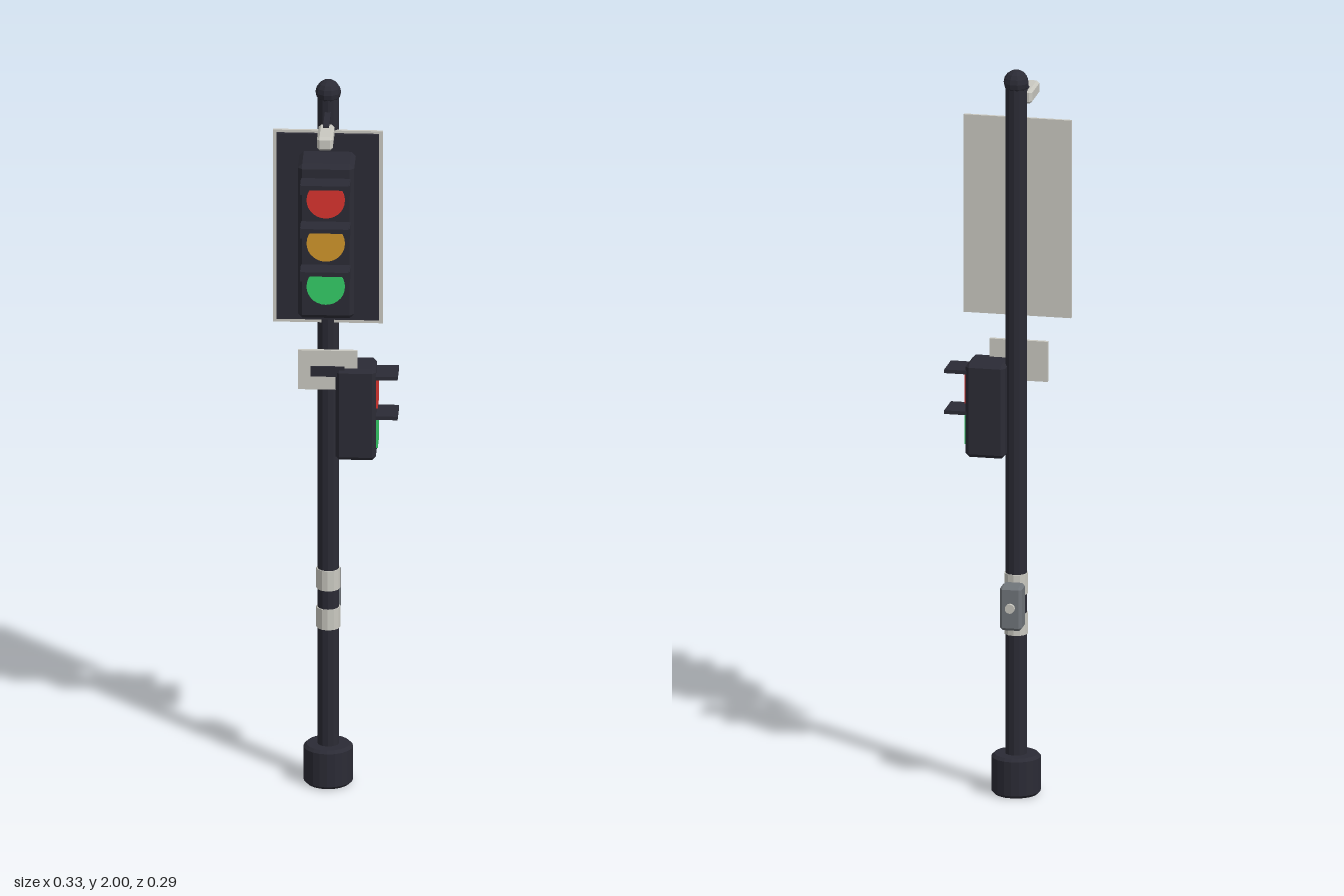
import * as THREE from 'three';
import { ConvexGeometry } from 'three/addons/geometries/ConvexGeometry.js';

const material = (name, color, flatShading = false) => {
  const m = new THREE.MeshStandardMaterial({ color });
  m.name = name;
  m.flatShading = flatShading;
  return m;
};

// Box given by its limits, with every edge cut at an angle when c > 0
function boxGeometry(x0, x1, y0, y1, z0, z1, c = 0) {
  const w = x1 - x0, h = y1 - y0, d = z1 - z0;
  let geo;
  if (c > 0) {
    const pts = [];
    for (const sx of [-1, 1]) for (const sy of [-1, 1]) for (const sz of [-1, 1]) {
      const x = w / 2, y = h / 2, z = d / 2;
      pts.push(
        new THREE.Vector3(sx * x, sy * (y - c), sz * (z - c)),
        new THREE.Vector3(sx * (x - c), sy * y, sz * (z - c)),
        new THREE.Vector3(sx * (x - c), sy * (y - c), sz * z));
    }
    geo = new ConvexGeometry(pts);
  } else {
    geo = new THREE.BoxGeometry(w, h, d);
  }
  return geo.translate((x0 + x1) / 2, (y0 + y1) / 2, (z0 + z1) / 2);
}

export function createModel() {
  const root = new THREE.Group();
  root.name = 'trafficLight';

  const dark = material('darkMetal', 0x2b2b35, true);
  const pale = material('paleMetal', 0xc9c8c0, true);
  const grey = material('greyMetal', 0x70757a, true);
  const red = material('redLight', 0xd8342e);
  const amber = material('amberLight', 0xcf952b);
  const green = material('greenLight', 0x33cc66);

  const add = (name, geo, mat, parent = root) => {
    const mesh = new THREE.Mesh(geo, mat);
    mesh.name = name;
    parent.add(mesh);
    return mesh;
  };
  const box = (name, mat, limits, chamfer = 0, parent = root) =>
    add(name, boxGeometry(...limits, chamfer), mat, parent);
  const group = (name) => {
    const g = new THREE.Group();
    g.name = name;
    root.add(g);
    return g;
  };

  // Pole axis
  const PX = -0.021, PZ = -0.062;
  const tube = (name, mat, r, y0, y1, sides = 12) =>
    add(name, new THREE.CylinderGeometry(r, r, y1 - y0, sides)
      .translate(PX, (y0 + y1) / 2, PZ), mat);

  // Foot with bevelled rims, pole and ball cap
  const footProfile = [[0, 0], [0.058, 0], [0.066, 0.008], [0.066, 0.102], [0.058, 0.11], [0, 0.11]]
    .map(([r, y]) => new THREE.Vector2(r, y));
  add('foot', new THREE.LatheGeometry(footProfile, 20).translate(PX, 0, PZ), dark);
  tube('pole', dark, 0.029, 0.1, 1.965);
  add('poleCap', new THREE.SphereGeometry(0.034, 10, 8).translate(PX, 1.966, PZ), dark);

  // Reflective bands
  for (const [y0, y1] of [[0.442, 0.5], [0.553, 0.61]]) tube('poleBand', pale, 0.032, y0, y1);

  // Push button on the back
  const button = group('pushButton');
  box('buttonHousing', grey, [-0.051, 0.009, 0.468, 0.59, -0.139, -0.084], 0.008, button);
  add('button', new THREE.CylinderGeometry(0.013, 0.013, 0.014, 12)
    .rotateX(Math.PI / 2).translate(PX, 0.532, -0.141), pale, button);

  // Backing board with pale border
  const board = group('backingBoard');
  box('boardBorder', pale, [-0.167, 0.125, 1.317, 1.864, -0.047, -0.039], 0, board);
  box('boardFace', dark, [-0.157, 0.115, 1.328, 1.857, -0.039, -0.031], 0, board);

  // Main signal head with three hooded lamps
  const head = group('signalHead');
  box('signalHousing', dark, [-0.096, 0.054, 1.373, 1.812, -0.032, 0.082], 0.012, head);
  [[1.714, red], [1.591, amber], [1.468, green]].forEach(([y, mat]) => {
    add('lamp', new THREE.CylinderGeometry(0.051, 0.051, 0.012, 28)
      .rotateX(Math.PI / 2).translate(PX, y, 0.082), mat, head);
    box('visorTop', dark, [PX - 0.063, PX + 0.063, y + 0.049, y + 0.061, 0.08, 0.139], 0, head);
    for (const s of [-1, 1]) {
      const x = PX + s * 0.061;
      box('visorSide', dark, [x - 0.005, x + 0.005, y + 0.031, y + 0.06, 0.08, 0.13], 0, head);
    }
  });

  // Camera on its arm
  const camera = group('camera');
  box('cameraArm', dark, [-0.029, -0.013, 1.902, 1.918, PZ, 0.07], 0, camera);
  box('cameraBody', pale, [-0.042, 0, 1.876, 1.914, 0.038, 0.143], 0.007, camera);

  // Small sign with a dark bar
  const sign = group('sign');
  box('signPlate', pale, [-0.1, 0.058, 1.132, 1.243, -0.032, -0.022], 0, sign);
  box('signBar', dark, [-0.066, 0.024, 1.171, 1.199, -0.022, -0.016], 0, sign);

  // Pedestrian signal facing the left side
  const walk = group('pedestrianSignal');
  box('pedestrianHousing', dark, [0, 0.107, 0.934, 1.193, -0.114, -0.01], 0.01, walk);
  [[1.119, red], [1.006, green]].forEach(([y, mat]) => {
    box('pedestrianLamp', mat, [0.104, 0.112, y - 0.04, y + 0.04, -0.097, -0.027], 0, walk);
    box('pedestrianVisor', dark, [0.105, 0.165, y + 0.043, y + 0.053, -0.106, -0.019], 0, walk);
  });

  return root;
}
